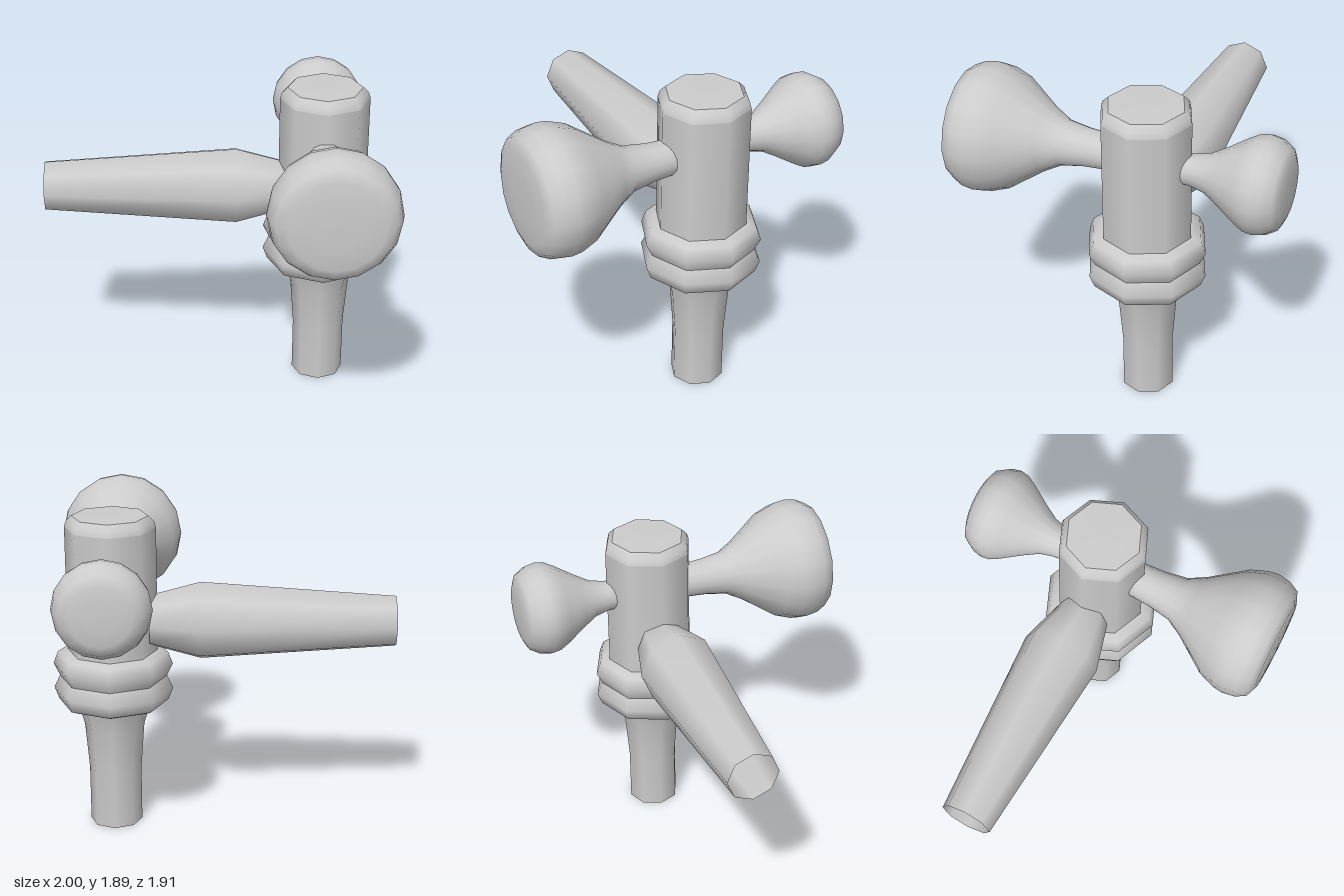
import * as THREE from 'three';

const AXIS_X = 0.63, AXIS_Z = -0.145;
const material = new THREE.MeshStandardMaterial({ color: 0xcccccc, side: THREE.DoubleSide });

// Turned part from [radius, height] pairs, listed from start to end of its axis
function turned(name, profile, sides) {
  const points = profile.map(([r, h]) => new THREE.Vector2(r, h));
  const mesh = new THREE.Mesh(new THREE.LatheGeometry(points, sides), material);
  mesh.name = name;
  return mesh;
}

export function createModel() {
  const model = new THREE.Group();
  model.name = 'tap';

  // Upright stem, open at the bottom
  const stem = turned('stem', [[0.153, 0], [0.153, 0.33], [0.175, 0.61], [0.216, 0.75]], 8);

  // Two stacked octagonal collar rings
  const collars = [0, 1].map((i) => {
    const y = 0.765 + i * 0.147;
    return turned(i ? 'upperCollar' : 'lowerCollar', i
      ? [[0.312, y], [0.347, y + 0.073], [0.32, y + 0.145], [0.26, y + 0.16]]
      : [[0.2, y - 0.022], [0.28, y - 0.018], [0.32, y], [0.347, y + 0.072], [0.312, y + 0.147]], 8);
  });

  // Octagonal body with a bevelled top
  const body = turned('body', [[0.26, 1.06], [0.26, 1.8]], 8);
  const bevel = turned('bodyBevel', [[0.26, 1.8], [0.25, 1.835], [0.217, 1.868]], 8);
  const cap = turned('bodyCap', [[0.217, 1.868], [0, 1.873]], 8);

  // Tapered spout, open at its mouth, running towards -x
  const spout = turned('spout', [[0.15, -0.41], [0.23, -0.12], [0.15, 1]], 8);
  spout.rotation.z = Math.PI / 2;

  // Large front knob, running towards +z
  const frontKnob = turned('frontKnob', [
    [0.1, 0.06], [0.108, 0.2], [0.13, 0.335], [0.185, 0.435], [0.323, 0.63], [0.36, 0.73],
    [0.367, 0.79], [0.356, 0.86], [0.325, 0.92], [0.26, 0.947], [0.13, 0.953], [0, 0.955],
  ], 16);
  frontKnob.rotation.x = Math.PI / 2;

  // Smaller back knob, running towards -z
  const backKnob = turned('backKnob', [
    [0.085, 0.34], [0.09, 0.42], [0.11, 0.5], [0.16, 0.585], [0.235, 0.7], [0.265, 0.755],
    [0.273, 0.805], [0.262, 0.86], [0.225, 0.92], [0.17, 0.944], [0.08, 0.951], [0, 0.952],
  ], 16);
  backKnob.rotation.x = -Math.PI / 2;

  for (const part of [stem, ...collars, body, bevel, cap]) part.position.set(AXIS_X, 0, AXIS_Z);
  spout.position.set(0, 1.25, AXIS_Z);
  frontKnob.position.set(AXIS_X, 1.521, 0);
  backKnob.position.set(AXIS_X, 1.521, 0);

  model.add(stem, ...collars, body, bevel, cap, spout, frontKnob, backKnob);
  return model;
}
